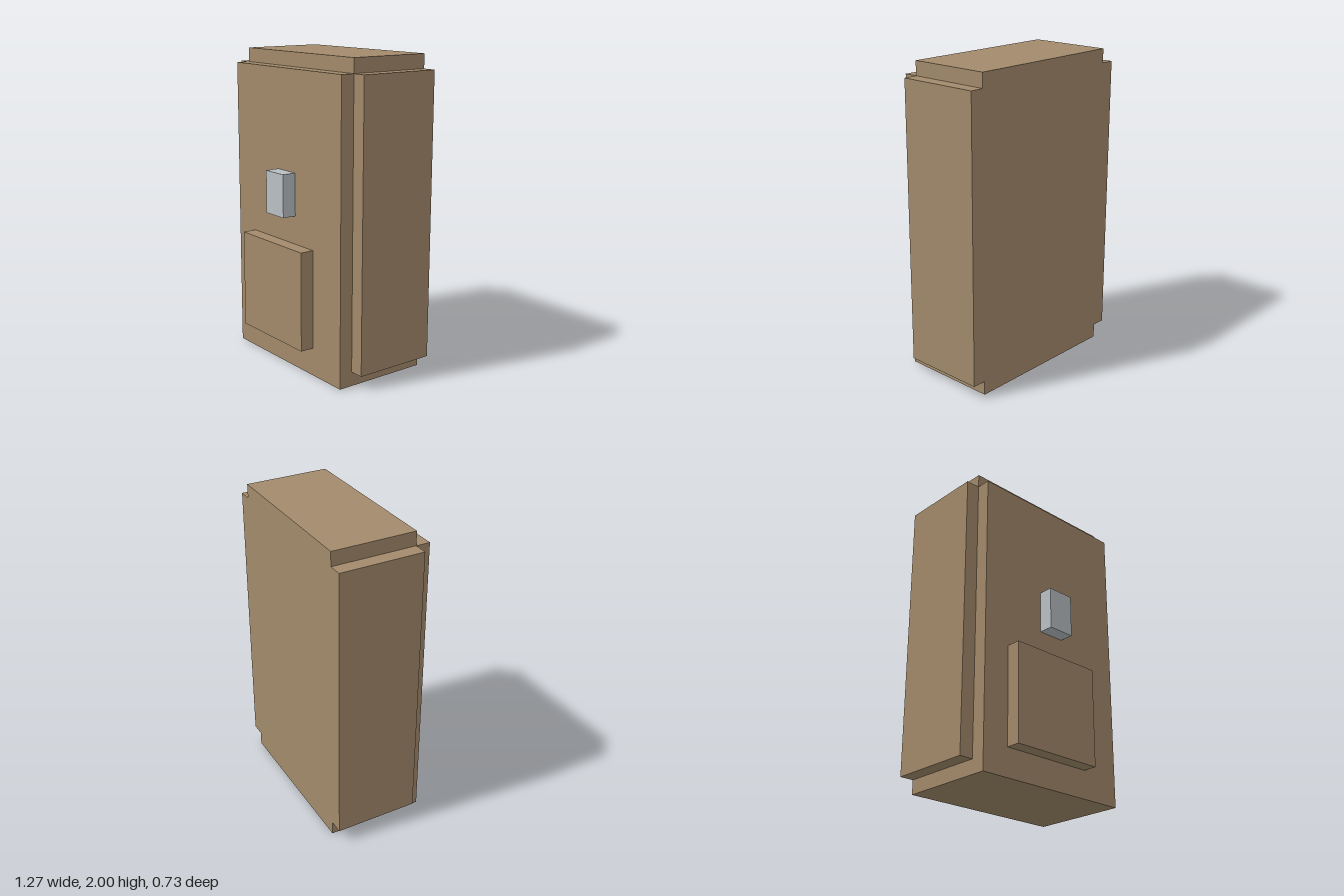
import * as THREE from 'three';

// One grid unit: the cabinet is 22 units tall and 2 world units high
const U = 1 / 11;

export function createModel() {
  const group = new THREE.Group();
  group.name = 'cabinet';

  const wood = new THREE.MeshStandardMaterial({ color: 0xa28a6b });
  wood.name = 'brown wood';
  const metal = new THREE.MeshStandardMaterial({ color: 0xb9c0c5 });
  metal.name = 'pale grey metal';

  // Box given by its two opposite corners in grid units
  function addBox(name, material, [x0, y0, z0], [x1, y1, z1]) {
    const geometry = new THREE.BoxGeometry((x1 - x0) * U, (y1 - y0) * U, (z1 - z0) * U);
    const mesh = new THREE.Mesh(geometry, material);
    mesh.name = name;
    mesh.position.set((x0 + x1) / 2, (y0 + y1) / 2, (z0 + z1) / 2).multiplyScalar(U);
    group.add(mesh);
  }

  // Main body with the raised top
  addBox('body', wood, [-6, 0, -4], [6, 22, 2]);

  // Side panels, flush with the back
  addBox('leftSidePanel', wood, [6, 1, -4], [7, 21, 2]);
  addBox('rightSidePanel', wood, [-7, 1, -4], [-6, 21, 2]);

  // Front panel with its raised lower panel and handle
  addBox('frontPanel', wood, [-6, 0, 2], [6, 21, 3]);
  addBox('lowerPanel', wood, [-4, 2, 3], [3, 9, 4]);
  addBox('handle', metal, [-1, 11, 3], [1, 14, 4]);

  return group;
}
